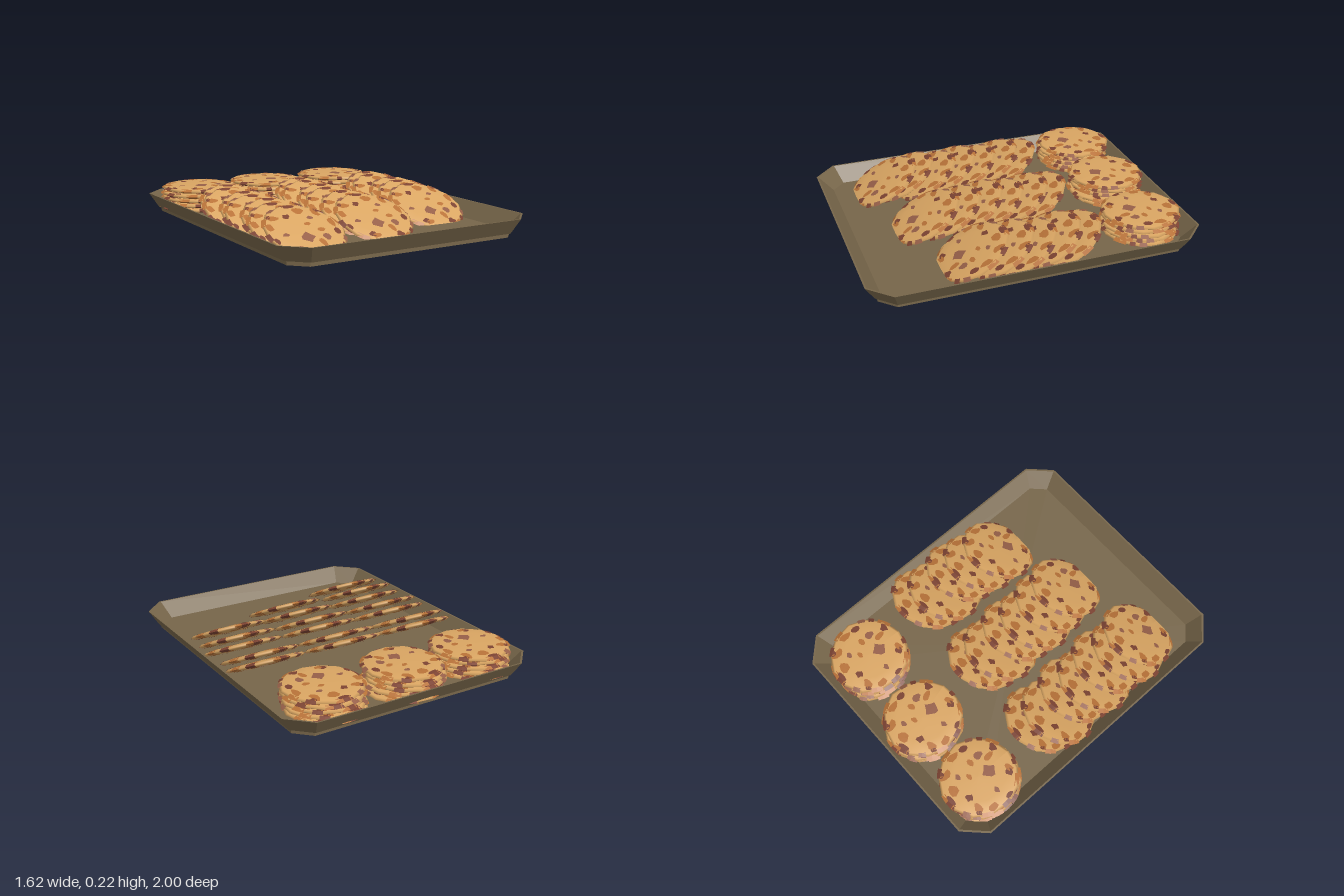
import * as THREE from 'three';
import { mergeGeometries } from 'three/addons/utils/BufferGeometryUtils.js';

const mat = (name, color, side = THREE.FrontSide) => {
  const m = new THREE.MeshStandardMaterial({ color, side });
  m.name = name;
  return m;
};

// Repeatable noise for crumb outlines and small offsets
let seed = 7;
const rand = () => (seed = (seed * 16807) % 2147483647) / 2147483647;
const jitter = (a) => (rand() * 2 - 1) * a;

// Baking tray: chamfered rectangular loops from the underside, over the rim, to the floor
function trayGeometry() {
  const loops = [
    [0, 0, 0, 0.02],
    [0.74, 0.93, 0.09, 0.02],
    [0.74, 0.93, 0.09, 0.045],
    [0.755, 0.945, 0.1, 0.045],
    [0.81, 1, 0.13, 0.135],
    [0.8, 0.99, 0.126, 0.135],
    [0.72, 0.905, 0.08, 0.045],
    [0, 0, 0, 0.045],
  ];
  const pos = [], index = [];
  for (const [w, d, c, y] of loops) {
    const corners = [[w, d - c], [w - c, d], [c - w, d], [-w, d - c], [-w, c - d], [c - w, -d], [w - c, -d], [w, c - d]];
    for (const [x, z] of corners) pos.push(x, y, z);
  }
  for (let k = 0; k < loops.length - 1; k++) {
    for (let i = 0; i < 8; i++) {
      const a = k * 8 + i, b = k * 8 + (i + 1) % 8;
      if (k > 0) index.push(a, b + 8, b);
      if (k < loops.length - 2) index.push(a, a + 8, b + 8);
      else continue;
    }
  }
  const g = new THREE.BufferGeometry();
  g.setAttribute('position', new THREE.Float32BufferAttribute(pos, 3));
  g.setIndex(index);
  const flat = g.toNonIndexed();
  flat.computeVertexNormals();
  return flat;
}

// Cookie profile: [radius, height]
const TOP = [[0.235, 0], [0.222, 0.01], [0.15, 0.016], [0, 0.018]];
const BOTTOM = [[0, -0.013], [0.15, -0.013], [0.222, -0.009]];

function topHeight(r) {
  for (let i = 0; i < TOP.length - 1; i++) {
    const [r0, y0] = TOP[i], [r1, y1] = TOP[i + 1];
    if (r >= r1) return y0 + (y1 - y0) * (r0 - r) / (r0 - r1);
  }
  return 0.018;
}

function cookieGeometry() {
  const g = new THREE.LatheGeometry([...BOTTOM, ...TOP].map(([r, y]) => new THREE.Vector2(r, y)), 13);
  const p = g.attributes.position;
  // Slightly uneven outline
  for (let i = 0; i < p.count; i++) {
    const x = p.getX(i), z = p.getZ(i), a = Math.atan2(z, x);
    const s = 1 + 0.012 * Math.sin(3 * a + 1) + 0.008 * Math.cos(5 * a);
    p.setXYZ(i, x * s, p.getY(i), z * s);
  }
  g.computeVertexNormals();
  return g;
}

// Irregular flat spot hugging the top and underside of a cookie
function spot([cx, cz, rx, rz]) {
  const n = 9, pos = [], index = [];
  const put = (x, z) => {
    const r = Math.hypot(x, z), s = Math.min(1, 0.221 / r);
    const y = topHeight(r * s) + 0.002;
    pos.push(x * s, y, z * s, x * s, -y, z * s);
  };
  put(cx, cz);
  for (let i = 0; i < n; i++) {
    const a = (i / n) * Math.PI * 2, k = 1 + jitter(0.25);
    put(cx + Math.cos(a) * rx * k, cz + Math.sin(a) * rz * k);
  }
  for (let i = 0; i < n; i++) {
    const a = 2 + 2 * i, b = 2 + 2 * ((i + 1) % n);
    index.push(0, b, a, 1, a + 1, b + 1);
  }
  const g = new THREE.BufferGeometry();
  g.setAttribute('position', new THREE.Float32BufferAttribute(pos, 3));
  g.setIndex(index);
  return g.toNonIndexed();
}

// Short strip wrapped around the cookie's edge
function rimStrip([angle, length]) {
  const pts = [[0.214, -0.012], [0.239, 0], [0.214, 0.0125]].map(([r, y]) => new THREE.Vector2(r, y));
  const g = new THREE.LatheGeometry(pts, 2, angle, length).toNonIndexed();
  g.deleteAttribute('uv');
  g.deleteAttribute('normal');
  return g;
}

function spots(list, rims) {
  const g = mergeGeometries([...list.map(spot), ...rims.map(rimStrip)]);
  g.computeVertexNormals();
  return g;
}

export function createModel() {
  const model = new THREE.Group();
  model.name = 'cookieTray';

  const tray = new THREE.Mesh(trayGeometry(), mat('trayMetal', 0x766549));
  tray.name = 'bakingTray';
  model.add(tray);

  // Cookie body with three tones of chips; spots are [x, z, radiusX, radiusZ]
  const layers = [
    ['cookieBody', cookieGeometry(), mat('cookieDough', 0xd9a562)],
    ['toastedSpots', spots([
      [0.13, -0.14, 0.022, 0.045], [-0.14, -0.12, 0.035, 0.02], [0.03, -0.16, 0.035, 0.025],
      [0.05, 0.12, 0.018, 0.035], [0.185, -0.04, 0.02, 0.04], [-0.08, 0.17, 0.03, 0.018],
      [0.09, 0.02, 0.025, 0.018], [-0.19, -0.05, 0.02, 0.03], [0.03, -0.04, 0.02, 0.014],
    ], [[0.3, 0.35], [1.7, 0.3], [2.9, 0.4], [4.1, 0.3], [5.3, 0.35]]), mat('toastedBrown', 0xb87238, THREE.DoubleSide)],
    ['milkChips', spots([
      [-0.02, 0.07, 0.042, 0.038], [0.095, 0.085, 0.022, 0.026], [0.07, -0.09, 0.02, 0.016],
      [-0.13, 0.03, 0.02, 0.014],
    ], [[1.0, 0.2], [3.6, 0.2]]), mat('milkChocolate', 0x965f48, THREE.DoubleSide)],
    ['darkChips', spots([
      [-0.06, -0.12, 0.022, 0.02], [-0.1, 0.155, 0.024, 0.022], [0.075, 0.18, 0.026, 0.022],
      [0.18, 0.04, 0.018, 0.025], [-0.2, 0.07, 0.018, 0.026], [0.0, -0.205, 0.03, 0.014],
      [0.15, -0.155, 0.018, 0.02], [-0.165, -0.135, 0.018, 0.016],
    ], [[0.75, 0.15], [2.2, 0.25], [3.1, 0.25], [4.7, 0.25], [5.9, 0.15]]), mat('darkChocolate', 0x7c4332, THREE.DoubleSide)],
  ];

  function addCookie(name, x, y, z, tilt, turn) {
    const cookie = new THREE.Group();
    cookie.name = name;
    for (const [part, geometry, material] of layers) {
      const mesh = new THREE.Mesh(geometry, material);
      mesh.name = part;
      cookie.add(mesh);
    }
    cookie.position.set(x, y, z);
    cookie.rotation.set(tilt, turn, 0);
    model.add(cookie);
  }

  // Flat stacks at the back
  for (const [x, z, turn] of [[-0.525, -0.715, 0], [-0.04, -0.725, 0.3], [0.475, -0.715, 0]]) {
    for (let i = 0; i < 5; i++) {
      const loose = i < 4 ? 0.015 : 0;
      addCookie('stackedCookie', x + jitter(loose), 0.06 + i * 0.03, z + jitter(loose), 0, turn + jitter(loose * 20));
    }
  }

  // Leaning rows: top edges shared by the three columns
  const rowZ = [-0.41, -0.3, -0.135, -0.01, 0.135, 0.275, 0.395];
  for (const [xs, count] of [[[-0.5, -0.53], 7], [[0.015, -0.005], 6], [[0.54, 0.515], 5]]) {
    for (let i = 0; i < count; i++) {
      const last = i === count - 1;
      const x = last ? { 7: -0.5, 6: 0.025, 5: 0.5 }[count] : xs[i % 2];
      addCookie('leaningCookie', x, 0.124, rowZ[i] + 0.212, 0.47, last ? 0 : jitter(0.12));
    }
  }
  return model;
}
